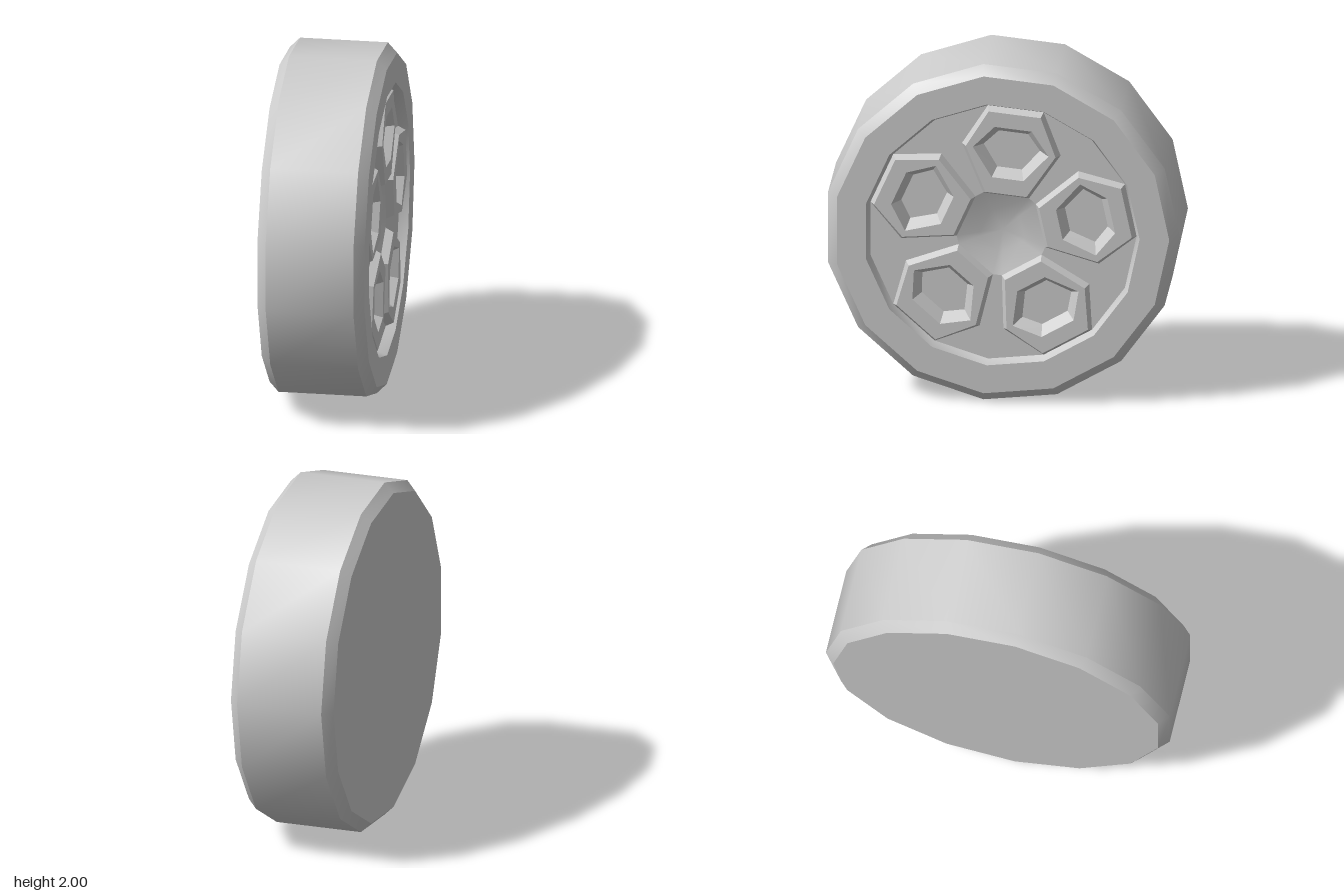
import * as THREE from 'three';
import { toCreasedNormals } from 'three/addons/utils/BufferGeometryUtils.js';

const material = new THREE.MeshStandardMaterial({ color: 0xcccccc });
const STEP = Math.PI * 2 / 5;      // five bosses
const FIRST = THREE.MathUtils.degToRad(84);
const FLOOR = 0.25;                // height of the recessed floor along the axle
const RIM = 0.76;                  // radius of the recessed floor

// Point in the wheel plane: u outward along the given angle, t sideways
function polar(angle, u, t = 0) {
  const c = Math.cos(angle), s = Math.sin(angle);
  return new THREE.Vector2(u * c - t * s, u * s + t * c);
}

// Symmetric hexagon, counterclockwise, pointing outward along the angle
function hexagon(angle, [uOut, tOut], [uMid, tMid], [uIn, tIn]) {
  return [[uOut, -tOut], [uOut, tOut], [uMid, tMid], [uIn, tIn], [uIn, -tIn], [uMid, -tMid]]
    .map(([u, t]) => polar(angle, u, t));
}

// Skin between rings of points, each ring at its own height
function loft(rings, crease) {
  const pos = [], index = [], n = rings[0].points.length;
  for (const { points, h } of rings) for (const p of points) pos.push(p.x, p.y, h);
  for (let r = 0; r < rings.length - 1; r++) {
    for (let i = 0; i < n; i++) {
      const a = r * n + i, b = r * n + (i + 1) % n;
      index.push(a, b, b + n, a, b + n, a + n);
    }
  }
  const geo = new THREE.BufferGeometry();
  geo.setAttribute('position', new THREE.Float32BufferAttribute(pos, 3));
  geo.setIndex(index);
  return toCreasedNormals(geo, crease);
}

const middle = (points) => {
  const c = points.reduce((s, p) => s.add(p), new THREE.Vector2()).divideScalar(points.length);
  return points.map(() => c);
};

export function createModel() {
  const model = new THREE.Group();
  model.name = 'wheel';
  const wheel = new THREE.Group();
  wheel.name = 'wheelParts';
  wheel.rotation.y = Math.PI / 2;   // axle along x, detailed side toward +x
  wheel.position.set(0, 1, 0.011);
  model.add(wheel);

  const add = (name, geo) => {
    const mesh = new THREE.Mesh(geo, material);
    mesh.name = name;
    wheel.add(mesh);
  };

  // Fifteen-sided tyre: plain back, chamfers, tread, side wall and recess wall
  const profile = [[0, -0.305], [0.95, -0.305], [1.0055, -0.25], [1.0055, 0.25],
    [0.95, 0.305], [0.782, 0.305], [RIM, FLOOR]].map(([r, h]) => new THREE.Vector2(r, h));
  const tyre = new THREE.LatheGeometry(profile, 15, Math.PI / 2).rotateX(Math.PI / 2);
  add('tyre', toCreasedNormals(tyre, 0.52));

  const corner = [RIM * Math.cos(Math.PI / 15), RIM * Math.sin(Math.PI / 15)];
  const base = (angle) => hexagon(angle, corner, [0.5, 0.28], [0.222, 0.13]);
  const hubRing = [];

  for (let k = 0; k < 5; k++) {
    const angle = FIRST + k * STEP;
    const foot = base(angle), next = base(angle + STEP);
    hubRing.push(foot[4], foot[3]);

    // Raised hexagonal boss with a sunken pocket
    const pocket = hexagon(angle, [0.59, 0.083], [0.5, 0.16], [0.375, 0.07]);
    add('boss', loft([
      { points: foot, h: FLOOR },
      { points: hexagon(angle, [0.722, 0.148], [0.5, 0.255], [0.243, 0.117]), h: 0.295 },
      { points: hexagon(angle, [0.635, 0.105], [0.5, 0.215], [0.335, 0.09]), h: 0.295 },
      { points: pocket, h: 0.215 },
      { points: middle(pocket), h: 0.215 },
    ], 0.1));

    // Floor between this boss and the next
    const outline = [foot[3], foot[2], foot[1], polar(angle + STEP / 2, RIM), next[0], next[5], next[4]];
    add('recessFloor', new THREE.ShapeGeometry(new THREE.Shape(outline)).translate(0, 0, FLOOR));
  }

  // Shallow smooth dish at the hub
  const scaled = (f) => hubRing.map((p) => p.clone().multiplyScalar(f));
  add('hubDish', loft([
    { points: hubRing, h: FLOOR },
    { points: scaled(0.5), h: 0.213 },
    { points: scaled(0), h: 0.2 },
  ], 0.8));

  return model;
}
